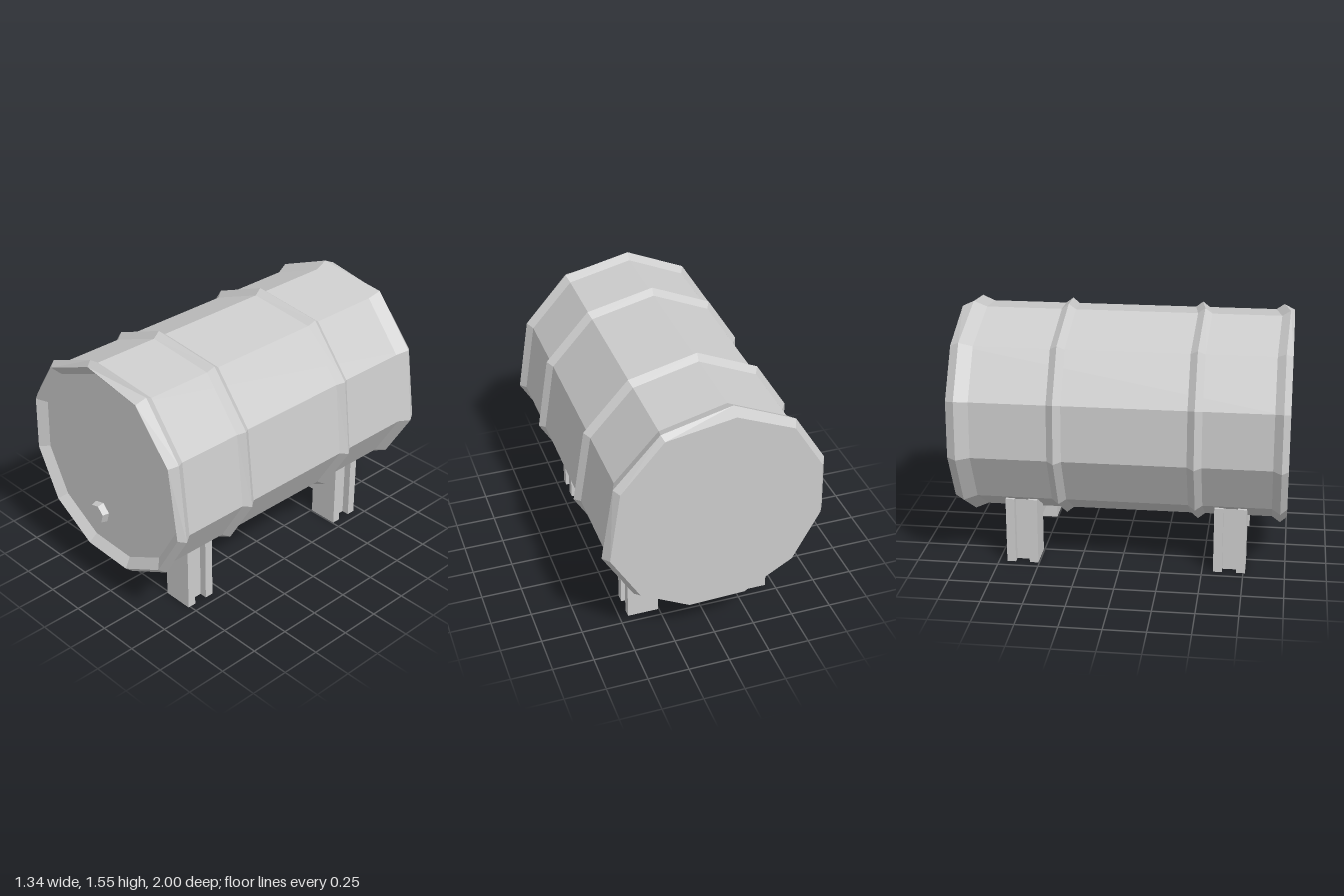
import * as THREE from 'three';

const mat = new THREE.MeshStandardMaterial({ color: 0xcccccc, flatShading: true });

// Uneven eleven-sided outline of a hoop's crest, clockwise from the top: [x, y, lean along z]
const OUTLINE = [
  [-0.10, 1.555, 0.015], [0.33, 1.48, -0.025], [0.60, 1.17, -0.015], [0.67, 0.70, 0],
  [0.485, 0.39, 0], [0.17, 0.225, 0], [-0.19, 0.235, 0], [-0.50, 0.42, 0],
  [-0.67, 0.74, 0], [-0.66, 1.10, 0], [-0.47, 1.40, 0],
];
const CY = 0.89;      // barrel axis height
const BODY = 0.95;    // body size relative to a hoop's crest
const INNER = 0.865;  // recessed head size

// Joins scaled outlines, listed front to back as [z, scale, leans]
function loft(name, rows) {
  const pos = [];
  const point = ([z, s, leans], i) => {
    const [x, y, lean] = OUTLINE[i % OUTLINE.length];
    return [x * s, CY + (y - CY) * s, z + (leans ? lean : 0)];
  };
  for (let r = 0; r < rows.length - 1; r++) {
    const front = rows[r], back = rows[r + 1];
    for (let i = 0; i < OUTLINE.length; i++) {
      const a = point(front, i), b = point(front, i + 1);
      const c = point(back, i + 1), d = point(back, i);
      if (back[1] > 0) pos.push(...a, ...c, ...d);
      if (front[1] > 0) pos.push(...a, ...b, ...c);
    }
  }
  const geo = new THREE.BufferGeometry();
  geo.setAttribute('position', new THREE.Float32BufferAttribute(pos, 3));
  geo.computeVertexNormals();
  const mesh = new THREE.Mesh(geo, mat);
  mesh.name = name;
  return mesh;
}

function box(name, x0, x1, y0, y1, z0, z1) {
  const mesh = new THREE.Mesh(new THREE.BoxGeometry(x1 - x0, y1 - y0, z1 - z0), mat);
  mesh.position.set((x0 + x1) / 2, (y0 + y1) / 2, (z0 + z1) / 2);
  mesh.name = name;
  return mesh;
}

// Leg with a vertical groove in its outer face; side is +1 or -1
function leg(side, z) {
  const shape = new THREE.Shape([
    [0.255, -0.097], [0.447, -0.097], [0.447, -0.043], [0.40, -0.043],
    [0.40, 0.043], [0.447, 0.043], [0.447, 0.097], [0.255, 0.097],
  ].map(([x, d]) => new THREE.Vector2(x * side, d)));
  const geo = new THREE.ExtrudeGeometry(shape, { depth: 0.415, bevelEnabled: false });
  geo.rotateX(-Math.PI / 2);
  const mesh = new THREE.Mesh(geo, mat);
  mesh.position.z = z;
  mesh.name = side > 0 ? 'leftLeg' : 'rightLeg';
  return mesh;
}

export function createModel() {
  const model = new THREE.Group();
  model.name = 'barrelOnStand';

  // Barrel body and its two heads
  model.add(loft('barrelBody', [[0.95, BODY], [-0.95, BODY]]));
  model.add(loft('frontHead', [[0.955, 0], [0.955, INNER]]));
  model.add(loft('backHead', [[-1, BODY], [-1, 0]]));

  // End hoops, the front one with a sloping inner lip
  model.add(loft('frontHoop', [
    [0.955, INNER], [1, BODY], [0.96, 1, true], [0.91, BODY, true],
  ]));
  model.add(loft('backHoop', [[-0.865, BODY, true], [-0.945, 1, true], [-1, BODY]]));

  // Middle hoops
  for (const z of [0.455, -0.365]) {
    model.add(loft('middleHoop', [
      [z + 0.043, BODY, true], [z, 1, true], [z - 0.043, BODY, true],
    ]));
  }

  // Six-sided plug on the front head
  const plugGeo = new THREE.CylinderGeometry(0.06, 0.072, 0.05, 6, 1, false, 0.77);
  plugGeo.rotateX(Math.PI / 2);
  const plug = new THREE.Mesh(plugGeo, mat);
  plug.position.set(-0.1, 0.52, 0.97);
  plug.name = 'plug';
  model.add(plug);

  // Two stands, each a pair of legs joined by a crossbar
  for (const z of [0.665, -0.603]) {
    const stand = new THREE.Group();
    stand.name = z > 0 ? 'frontStand' : 'backStand';
    stand.add(leg(1, z), leg(-1, z));
    stand.add(box('crossbar', -0.26, 0.26, 0.125, 0.2, z - 0.045, z + 0.045));
    model.add(stand);
  }
  return model;
}
